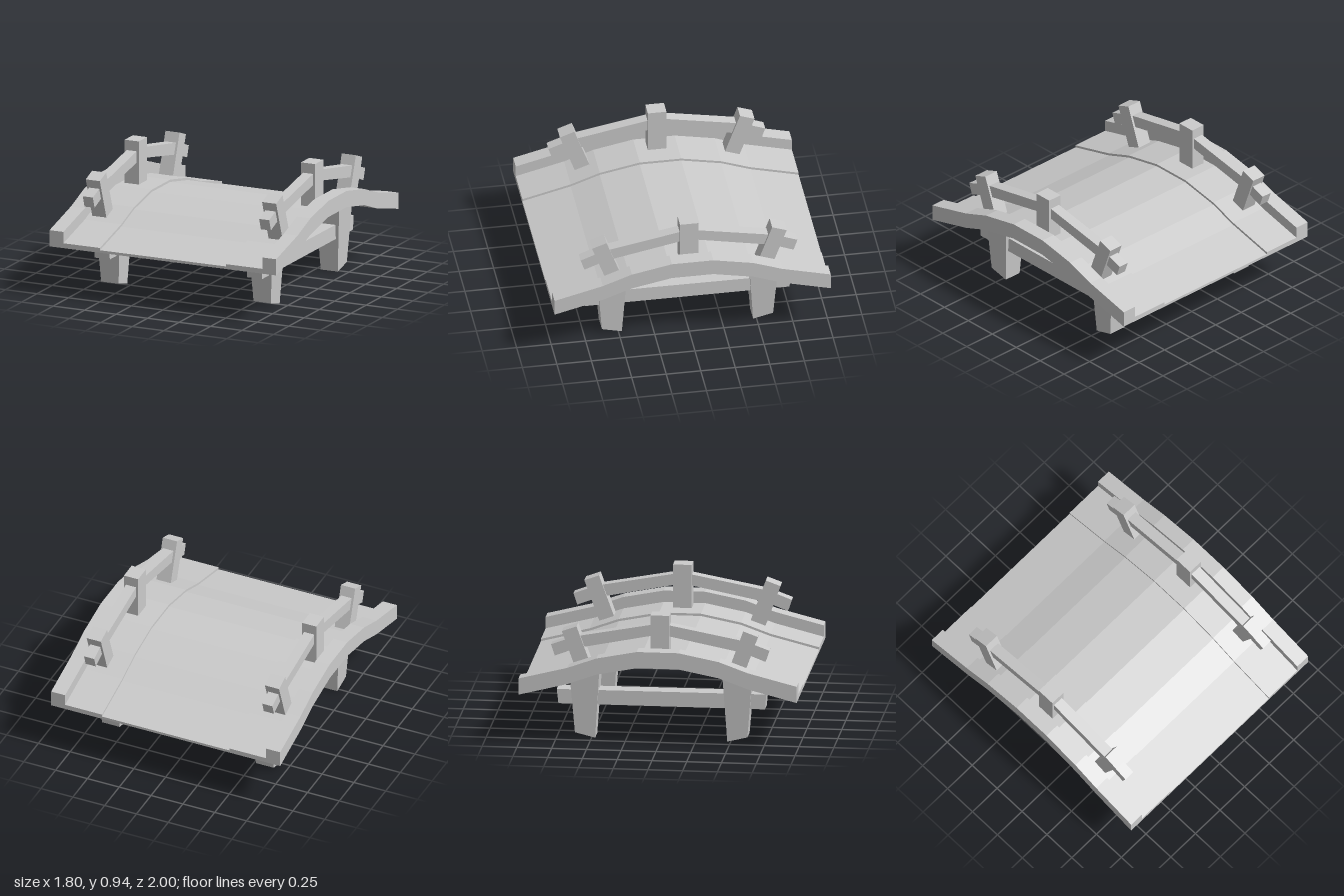
import * as THREE from 'three';

const material = new THREE.MeshStandardMaterial({ color: 0xcccccc, flatShading: true });

// Underside of the arch as [z, y], from the middle to one end
const ARCH = [[0.15, 0.585], [0.44, 0.528], [0.65, 0.452], [1, 0.363]];

const mirrorZ = (pts) => pts.map(([z, y]) => [-z, y]).reverse();

// Extrudes a side profile of [z, y] points across a width centred on x
function sideProfile(name, pts, x, width) {
  const shape = new THREE.Shape(pts.map(([z, y]) => new THREE.Vector2(z, y)));
  const geo = new THREE.ExtrudeGeometry(shape, { depth: width, bevelEnabled: false });
  geo.translate(0, 0, -width / 2).rotateY(-Math.PI / 2).translate(x, 0, 0);
  const mesh = new THREE.Mesh(geo, material);
  mesh.name = name;
  return mesh;
}

// Arched slab between x0 and x1 with a given thickness
function archSlab(name, x0, x1, thickness) {
  const bottom = [...mirrorZ(ARCH), ...ARCH];
  const top = bottom.map(([z, y]) => [z, y + thickness]).reverse();
  return sideProfile(name, [...bottom, ...top], (x0 + x1) / 2, x1 - x0);
}

function box(name, w, h, d, x, y, z) {
  const mesh = new THREE.Mesh(new THREE.BoxGeometry(w, h, d), material);
  mesh.name = name;
  mesh.position.set(x, y, z);
  return mesh;
}

// Leg that widens towards the deck, with a slanted foot
function leg(x, end) {
  const outline = [[0.475, 0], [0.62, 0.036], [0.655, 0.458], [0.44, 0.535]];
  const mesh = sideProfile('leg', end > 0 ? outline : mirrorZ(outline), 0, 1);
  const pos = mesh.geometry.attributes.position;
  for (let i = 0; i < pos.count; i++) {
    pos.setX(i, Math.sign(pos.getX(i)) * (0.0675 + 0.055 * pos.getY(i)));
  }
  mesh.geometry.computeVertexNormals();
  mesh.position.x = x;
  return mesh;
}

export function createModel() {
  const bridge = new THREE.Group();
  bridge.name = 'footbridge';

  bridge.add(archSlab('deck', -0.5, 0.5, 0.019));

  for (const side of [-1, 1]) {
    const half = new THREE.Group();
    half.name = side > 0 ? 'leftSide' : 'rightSide';

    // Raised deck border and outer curb
    const span = (a, b) => [side * a, side * b].sort((p, q) => p - q);
    half.add(archSlab('deckBorder', ...span(0.5, 0.79), 0.036));
    half.add(archSlab('curb', ...span(0.79, 0.9), 0.12));

    // Legs and the beam passing through them
    for (const end of [-1, 1]) half.add(leg(side * 0.605, end));
    half.add(sideProfile('crossBeam',
      [[-0.74, 0.245], [0.745, 0.245], [0.755, 0.355], [-0.752, 0.35]], side * 0.605, 0.12));

    // Upright middle post and leaning end posts
    const railX = side * 0.7;
    half.add(box('middlePost', 0.112, 0.34, 0.135, railX, 0.77, 0));
    for (const end of [-1, 1]) {
      const post = box('endPost', 0.112, 0.34, 0.112, railX, 0.663, end * 0.594);
      post.rotation.x = end * THREE.MathUtils.degToRad(20);
      half.add(post);
    }

    // Handrail bending down at the end posts
    const under = [[0, 0.797], [0.6, 0.678], [0.757, 0.617]];
    const over = [[0.785, 0.7], [0.62, 0.762], [0, 0.878]];
    half.add(sideProfile('handrail', [
      ...under, ...over, ...mirrorZ(over).slice(1), ...mirrorZ(under).slice(0, -1),
    ], railX, 0.08));

    bridge.add(half);
  }
  return bridge;
}
